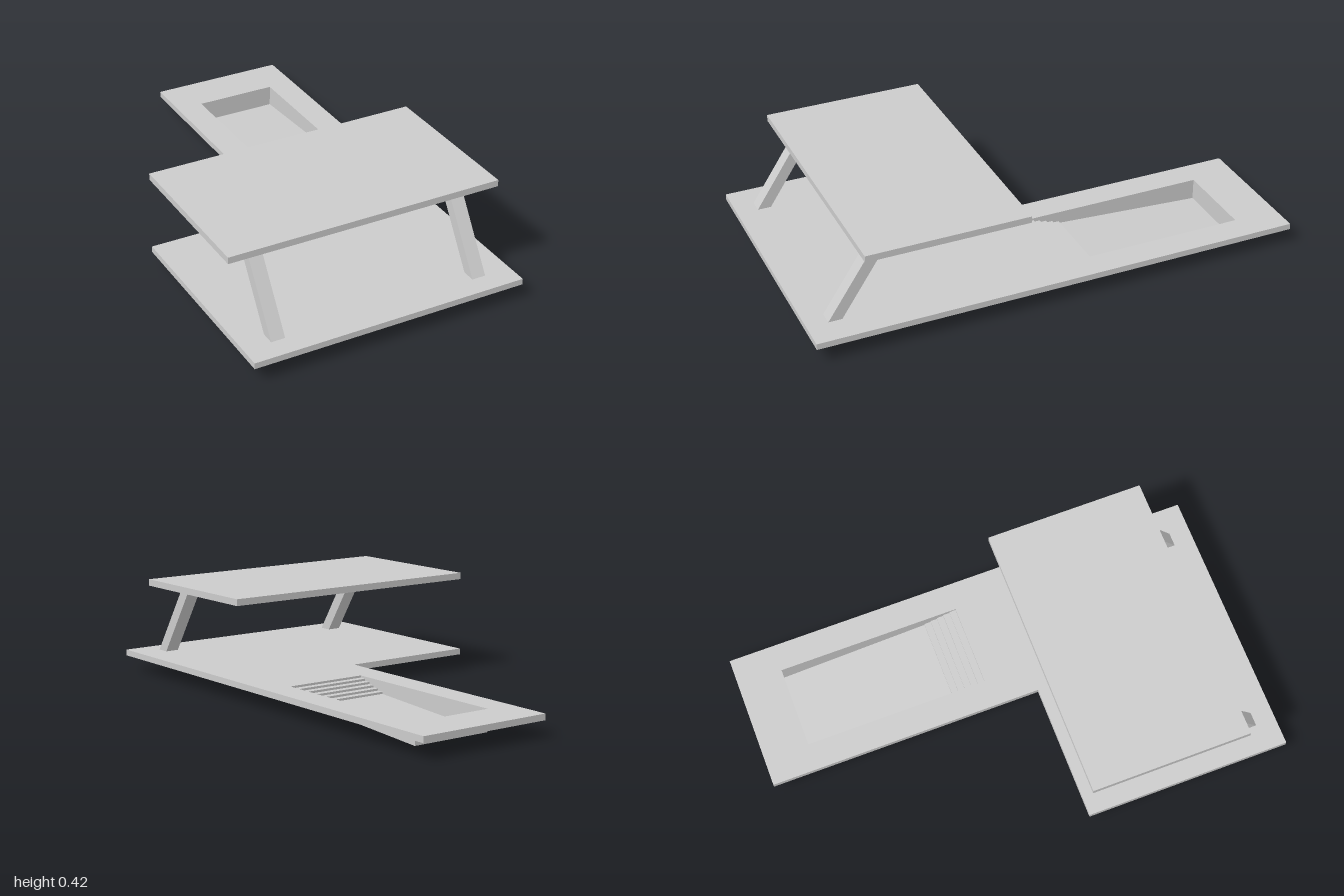
import * as THREE from 'three';

const solid = new THREE.MeshStandardMaterial({ color: 0xcccccc, flatShading: true });
const sheet = new THREE.MeshStandardMaterial({ color: 0xcccccc, flatShading: true, side: THREE.DoubleSide });

const HALF = 0.57, TOP = 0.088, BASE = 0.063, JOIN = 0.142;
const POOL = { x0: 0.113, x1: 0.456, z0: -0.813, z1: -0.05 };

function add(parent, name, geometry, material = solid) {
  const mesh = new THREE.Mesh(geometry, material);
  mesh.name = name;
  parent.add(mesh);
  return mesh;
}

// Box given by its limits on each axis
function slab(x0, x1, y0, y1, z0, z1) {
  return new THREE.BoxGeometry(x1 - x0, y1 - y0, z1 - z0)
    .translate((x0 + x1) / 2, (y0 + y1) / 2, (z0 + z1) / 2);
}

const shapeOf = (points) => new THREE.Shape(points.map(([a, b]) => new THREE.Vector2(a, b)));

// Open strip that sweeps a [z, y] profile across the width x0..x1
function ribbon(profile, x0, x1) {
  const geometry = new THREE.PlaneGeometry(1, 1, 1, profile.length - 1);
  const position = geometry.attributes.position;
  profile.forEach(([z, y], i) => {
    position.setXYZ(2 * i, x0, y, z);
    position.setXYZ(2 * i + 1, x1, y, z);
  });
  const flat = geometry.toNonIndexed();
  flat.computeVertexNormals();
  return flat;
}

// Pool terrace: a thin top with a skirt, open underneath
function createTerrace() {
  const terrace = new THREE.Group();
  terrace.name = 'poolTerrace';
  const outline = shapeOf([[0, -1], [HALF, -1], [HALF, JOIN], [0, JOIN]]);
  const { x0, x1, z0, z1 } = POOL;
  outline.holes.push(shapeOf([[x0, z0], [x0, z1], [x1, z1], [x1, z0]]));
  const top = new THREE.ShapeGeometry(outline).scale(1, -1, 1).rotateX(-Math.PI / 2).translate(0, TOP, 0);
  // Scaling mirrors the faces, so turn them to face up again
  const index = top.index.array;
  for (let i = 0; i < index.length; i += 3) [index[i], index[i + 1]] = [index[i + 1], index[i]];
  top.computeVertexNormals();
  add(terrace, 'terraceTop', top, sheet);

  const height = TOP - BASE, y = (TOP + BASE) / 2, length = JOIN + 1;
  for (const [name, x, side] of [['terraceInnerSkirt', 0, -1], ['terraceOuterSkirt', HALF, 1]]) {
    add(terrace, name, new THREE.PlaneGeometry(length, height)
      .rotateY(side * Math.PI / 2).translate(x, y, (JOIN - 1) / 2), sheet);
  }
  add(terrace, 'terraceBackSkirt', new THREE.PlaneGeometry(HALF, height)
    .rotateY(Math.PI).translate(HALF / 2, y, -1), sheet);
  return terrace;
}

// Pool basin: steps down, a sloping floor and an upright end wall
function createPool() {
  const pool = new THREE.Group();
  pool.name = 'pool';
  const steps = 6, drop = 0.0085, tread = 0.028;
  const profile = [[POOL.z1, TOP]];
  for (let i = 0; i < steps; i++) {
    const z = POOL.z1 - i * tread, y = TOP - (i + 1) * drop;
    profile.push([z, y]);
    if (i < steps - 1) profile.push([z - tread, y]);
  }
  profile.push([POOL.z0, 0], [POOL.z0, TOP]);
  add(pool, 'poolStepsAndFloor', ribbon(profile, POOL.x0, POOL.x1), sheet);
  for (const x of [POOL.x0, POOL.x1]) {
    add(pool, 'poolSideWall', new THREE.ShapeGeometry(shapeOf(profile))
      .rotateY(-Math.PI / 2).translate(x, 0, 0), sheet);
  }
  return pool;
}

export function createModel() {
  const model = new THREE.Group();
  model.name = 'poolPavilion';

  add(model, 'mainFloor', slab(-HALF, HALF, BASE, TOP, JOIN, 1));
  add(model, 'roof', slab(-HALF, HALF, 0.389, 0.416, JOIN, 0.8));
  model.add(createTerrace(), createPool());

  // Leaning columns between floor and roof
  const lean = shapeOf([[0.86, TOP], [0.915, TOP], [0.716, 0.389], [0.661, 0.389]]);
  for (const [name, x] of [['rightColumn', -0.402], ['leftColumn', 0.457]]) {
    add(model, name, new THREE.ExtrudeGeometry(lean, { depth: 0.057, bevelEnabled: false })
      .rotateY(-Math.PI / 2).translate(x, 0, 0));
  }
  return model;
}
